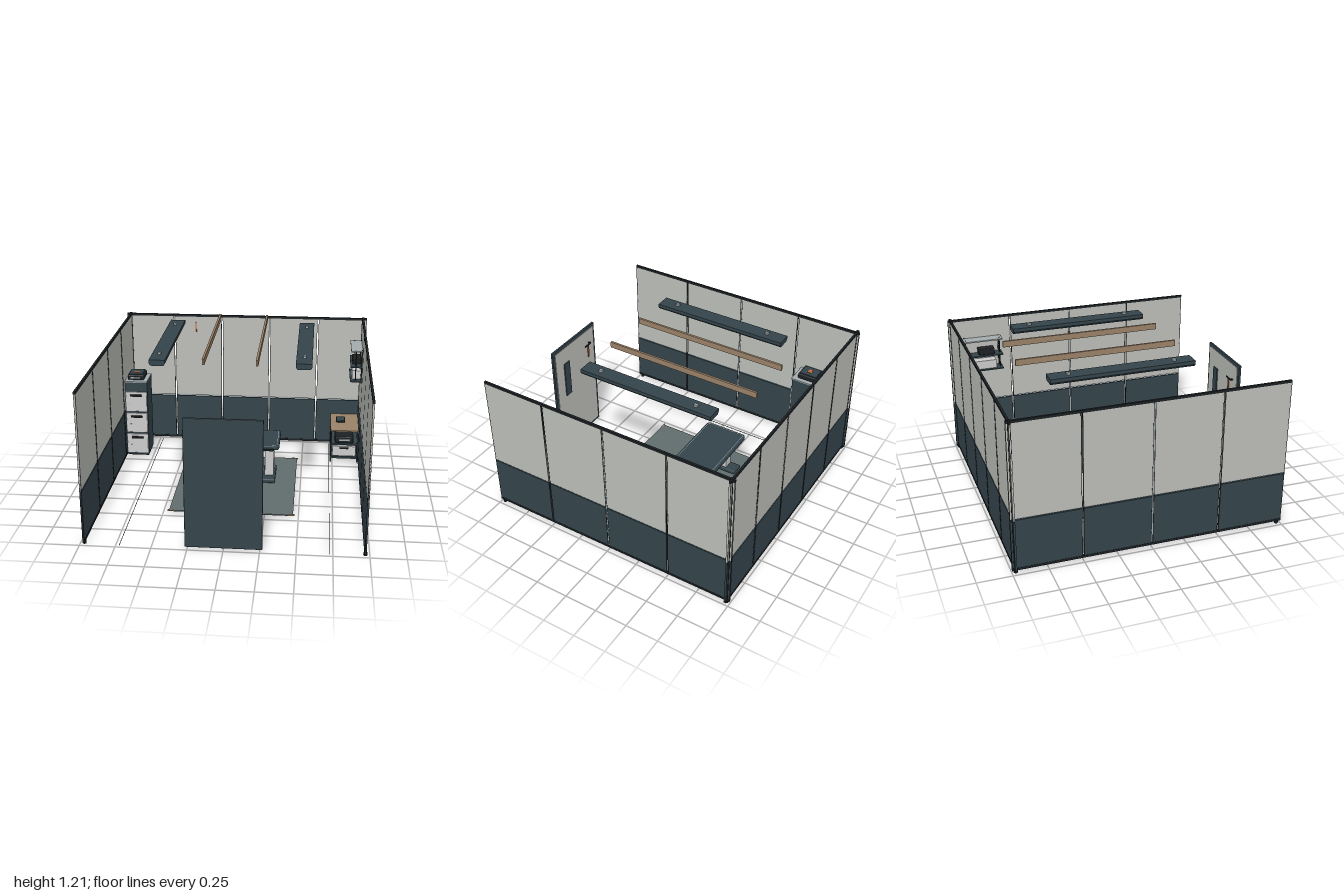
import * as THREE from 'three';
import { RoundedBoxGeometry } from 'three/addons/geometries/RoundedBoxGeometry.js';

const mat = (color) => new THREE.MeshStandardMaterial({ color });
const DARK = mat(0x34444b), LIGHT = mat(0xbcbeb8), BLACK = mat(0x1c2124), WOOD = mat(0x9a8268),
  ORANGE = mat(0xc4683a), PALE = mat(0xd0d2ce), FLOOR = mat(0x606d6c), STEEL = mat(0xa3abad);

function put(parent, name, geo, material, x, y, z) {
  const m = new THREE.Mesh(geo, material);
  m.name = name;
  m.position.set(x, y, z);
  parent.add(m);
  return m;
}
// Box given by its minimum and maximum on every axis
function box(parent, name, material, x0, x1, y0, y1, z0, z1, r = 0) {
  const w = x1 - x0, h = y1 - y0, d = z1 - z0;
  const geo = r ? new RoundedBoxGeometry(w, h, d, 2, r) : new THREE.BoxGeometry(w, h, d);
  return put(parent, name, geo, material, (x0 + x1) / 2, (y0 + y1) / 2, (z0 + z1) / 2);
}
function group(parent, name) {
  const g = new THREE.Group();
  g.name = name;
  parent.add(g);
  return g;
}
function rounded(w, d, r) {
  const s = new THREE.Shape();
  s.absarc(w / 2 - r, d / 2 - r, r, 0, Math.PI / 2);
  s.absarc(-w / 2 + r, d / 2 - r, r, Math.PI / 2, Math.PI);
  s.absarc(-w / 2 + r, -d / 2 + r, r, Math.PI, Math.PI * 1.5);
  s.absarc(w / 2 - r, -d / 2 + r, r, Math.PI * 1.5, Math.PI * 2);
  return s;
}

// Wall of evenly divided panels running along local x
function wall(parent, name, count) {
  const g = group(parent, name), step = 2 / count, t = 0.006, gap = 0.005;
  for (let i = 0; i < count; i++) {
    const a = -1 + i * step + (i ? gap : 0), b = -1 + (i + 1) * step - (i < count - 1 ? gap : 0);
    box(g, 'lowerPanel', DARK, a, b, 0.04, 0.408, -t, t);
    box(g, 'upperPanel', LIGHT, a, b, 0.424, 1.112, -t, t);
    box(g, 'panelTrim', STEEL, a, b, 0.416, 0.424, -t, t);
    for (const x of [a, b - 0.003]) box(g, 'panelEdge', BLACK, x, x + 0.003, 0.04, 1.112, -t - 0.001, t + 0.001);
  }
  box(g, 'topCap', BLACK, -1, 1, 1.112, 1.13, -0.008, 0.008);
  box(g, 'bottomRail', BLACK, -1, 1, 0.022, 0.04, -0.008, 0.008);
  return g;
}

function filingCabinet(parent) {
  const g = group(parent, 'filingCabinet');
  box(g, 'body', DARK, -0.965, -0.78, 0.025, 0.66, -0.78, -0.57);
  box(g, 'plinth', BLACK, -0.96, -0.785, 0.01, 0.025, -0.775, -0.575);
  box(g, 'topPlate', STEEL, -0.965, -0.78, 0.655, 0.664, -0.785, -0.56);
  for (const y of [0.035, 0.22, 0.405]) {
    box(g, 'drawerFront', PALE, -0.96, -0.785, y, y + 0.17, -0.571, -0.559, 0.004);
    box(g, 'drawerHandle', BLACK, -0.92, -0.825, y + 0.133, y + 0.148, -0.56, -0.546);
    box(g, 'drawerLabel', STEEL, -0.928, -0.918, y + 0.07, y + 0.074, -0.56, -0.557);
  }
  // Small machine on top
  box(g, 'machineBody', BLACK, -0.945, -0.81, 0.664, 0.708, -0.755, -0.6, 0.01);
  box(g, 'machineLid', DARK, -0.93, -0.825, 0.706, 0.712, -0.745, -0.615);
  box(g, 'machineScreen', ORANGE, -0.898, -0.857, 0.711, 0.715, -0.69, -0.66);
  box(g, 'machineSlot', STEEL, -0.92, -0.84, 0.68, 0.69, -0.601, -0.597);
}

function trolley(parent) {
  const g = group(parent, 'trolley'), x0 = 0.73, x1 = 0.96, z0 = -0.97, z1 = -0.585;
  box(g, 'worktop', WOOD, x0, x1, 0.272, 0.284, z0, z1);
  box(g, 'middleShelf', DARK, x0, x1, 0.155, 0.167, z0, z1);
  box(g, 'bottomShelf', DARK, x0, x1, 0.035, 0.05, z0, z1);
  box(g, 'backSide', DARK, x1 - 0.008, x1, 0.05, 0.272, z0, z1);
  for (const x of [x0 + 0.006, x1 - 0.006]) for (const z of [z0 + 0.006, z1 - 0.006]) {
    box(g, 'leg', BLACK, x - 0.006, x + 0.006, 0.02, 0.284, z - 0.006, z + 0.006);
    put(g, 'caster', new THREE.CylinderGeometry(0.013, 0.013, 0.01, 16), BLACK, x, 0.014, z).rotation.z = Math.PI / 2;
  }
  box(g, 'drawer', PALE, x0 + 0.02, x1 - 0.02, 0.06, 0.145, z0 + 0.03, z1 + 0.004);
  box(g, 'drawerHandle', BLACK, 0.81, 0.88, 0.125, 0.135, z1 + 0.004, z1 + 0.014);
  box(g, 'shelfMachine', BLACK, 0.768, 0.92, 0.167, 0.222, -0.85, z1 - 0.01, 0.008);
  box(g, 'machineFace', STEEL, 0.80, 0.89, 0.188, 0.202, z1 - 0.012, z1 - 0.008);
  box(g, 'tabletBody', BLACK, 0.775, 0.852, 0.284, 0.294, -0.88, -0.765, 0.004);
  box(g, 'tabletScreen', DARK, 0.785, 0.842, 0.292, 0.296, -0.865, -0.78);
}

function wallShelf(parent) {
  const g = group(parent, 'wallShelf');
  [0.705, 0.825, 0.955].forEach((y, i) =>
    box(g, 'shelf', i === 2 ? STEEL : DARK, 0.87, 0.962, y, y + 0.01, -0.9, -0.585));
  for (const z of [-0.88, -0.605]) {
    box(g, 'post', BLACK, 0.908, 0.916, 0.705, 0.955, z - 0.004, z + 0.004);
    box(g, 'wallRail', BLACK, 0.954, 0.962, 0.69, 0.97, z - 0.004, z + 0.004);
    put(g, 'bolt', new THREE.CylinderGeometry(0.004, 0.004, 0.003, 10), BLACK, 0.905, 0.967, z);
  }
  box(g, 'speaker', BLACK, 0.885, 0.955, 0.836, 0.885, -0.78, -0.65, 0.006);
  box(g, 'storageBox', PALE, 0.885, 0.955, 0.716, 0.785, -0.84, -0.64);
}

function desk(parent) {
  const g = group(parent, 'desk');
  const top = new THREE.ExtrudeGeometry(rounded(0.64, 0.32, 0.02),
    { depth: 0.018, bevelThickness: 0.009, bevelSize: 0.01, bevelSegments: 3, curveSegments: 6 });
  put(g, 'deskTop', top.rotateX(-Math.PI / 2), DARK, 0, 0.313, -0.245);
  // Thin inlaid line round the top
  const line = rounded(0.63, 0.31, 0.02);
  line.holes.push(rounded(0.624, 0.304, 0.018));
  put(g, 'inlay', new THREE.ShapeGeometry(line, 6).rotateX(-Math.PI / 2), STEEL, 0, 0.3415, -0.245);
  box(g, 'underFrame', BLACK, -0.29, 0.29, 0.285, 0.305, -0.37, -0.12);
  box(g, 'frontLip', BLACK, -0.285, 0.285, 0.3, 0.315, -0.1, -0.067);
  for (const s of [-1, 1]) {
    const x = s * 0.25;
    box(g, 'column', PALE, x - 0.035, x + 0.035, 0.04, 0.29, -0.31, -0.18);
    box(g, 'foot', DARK, x - 0.05, x + 0.05, 0.012, 0.046, -0.39, -0.1, 0.01);
    for (const z of [-0.36, -0.13])
      put(g, 'glide', new THREE.CylinderGeometry(0.02, 0.02, 0.014, 20), BLACK, x, 0.007, z);
  }
}

function door(parent) {
  const g = group(parent, 'doorPanel');
  box(g, 'doorLeaf', DARK, -0.268, 0.268, 0.01, 0.962, 0.957, 0.975, 0.004);
  box(g, 'innerFace', LIGHT, -0.243, 0.243, 0.035, 0.937, 0.953, 0.958);
  box(g, 'pullStrip', DARK, 0.085, 0.15, 0.5, 0.8, 0.944, 0.953);
  box(g, 'hook', BLACK, -0.185, -0.11, 0.815, 0.825, 0.93, 0.936);
  box(g, 'hookStem', BLACK, -0.185, -0.175, 0.815, 0.825, 0.93, 0.953);
  box(g, 'hangingTag', ORANGE, -0.155, -0.14, 0.71, 0.815, 0.93, 0.936);
}

export function createModel() {
  const model = new THREE.Group();
  model.name = 'officeBooth';

  // Walls on three sides
  wall(model, 'backWall', 5).position.z = -0.977;
  for (const s of [-1, 1]) {
    const w = wall(model, s < 0 ? 'rightWall' : 'leftWall', 4);
    w.rotation.y = Math.PI / 2;
    w.position.x = s * 0.969;
    box(model, 'seamFiller', STEEL, s * 0.969 - 0.003, s * 0.969 + 0.003, 0.04, 1.112, -0.006, 0.006);
    box(model, 'cornerPost', BLACK, s * 0.969 - 0.01, s * 0.969 + 0.01, 0.015, 1.135, -0.987, -0.967);
    for (const z of [-0.975, 0.97])
      put(model, 'wallFoot', new THREE.CylinderGeometry(0.014, 0.014, 0.02, 16), BLACK, s * 0.969, 0.015, z);
    box(model, 'floorLine', BLACK, s * 0.725 - 0.0015, s * 0.725 + 0.0015, 0, 0.003, -0.975, 0.975);

    // Hanging lamps and wooden beams
    const lamp = group(model, 'lamp');
    const prof = new THREE.Shape([[-0.057, 0.016], [-0.045, 0], [0.045, 0], [0.057, 0.016], [0.057, 0.042], [-0.057, 0.042]]
      .map(([x, y]) => new THREE.Vector2(x, y)));
    put(lamp, 'lampHousing', new THREE.ExtrudeGeometry(prof, { depth: 1.05, bevelEnabled: false }), DARK, s * 0.513, 1.145, -0.59);
    for (const z of [-0.45, 0.32])
      box(lamp, 'lampMount', STEEL, s * 0.515 - 0.012, s * 0.515 + 0.012, 1.185, 1.204, z - 0.015, z + 0.015, 0.004);
    box(model, 'beam', WOOD, s * 0.188 - 0.008, s * 0.188 + 0.008, 1.16, 1.205, -0.735, 0.46);
  }

  // Floor mat with corner trims
  box(model, 'floorMat', FLOOR, -0.46, 0.46, 0.003, 0.01, -0.615, 0.43);
  box(model, 'matBacking', BLACK, -0.458, 0.458, 0.001, 0.003, -0.613, 0.428);
  for (const s of [-1, 1]) for (const z of [-0.61, 0.425])
    box(model, 'matCornerTrim', WOOD, s * 0.445 - 0.025, s * 0.445 + 0.025, 0.002, 0.013, z - 0.005, z + 0.005);

  box(model, 'wallTag', ORANGE, -0.425, -0.415, 0.98, 1.065, -0.97, -0.962);
  filingCabinet(model);
  trolley(model);
  wallShelf(model);
  desk(model);
  door(model);
  return model;
}
